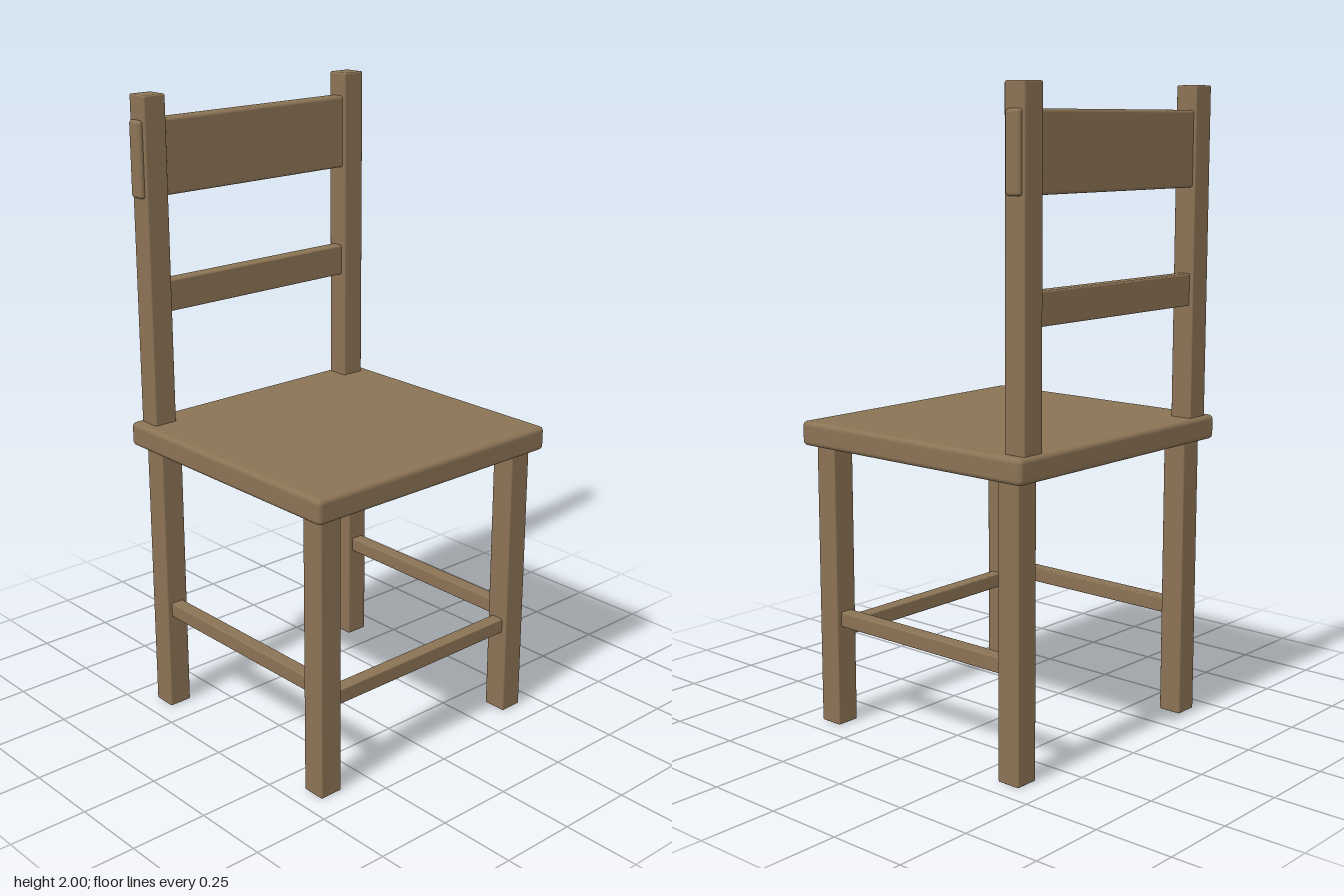
import * as THREE from 'three';
import { RoundedBoxGeometry } from 'three/addons/geometries/RoundedBoxGeometry.js';

export function createModel() {
  const chair = new THREE.Group();
  chair.name = 'chair';
  const wood = new THREE.MeshStandardMaterial({ color: 0x8b7355 });
  wood.name = 'brown wood';

  // Softly rounded board given by its extents on each axis
  function board(name, [x0, x1], [y0, y1], [z0, z1], radius) {
    const geometry = new RoundedBoxGeometry(x1 - x0, y1 - y0, z1 - z0, 3, radius);
    const mesh = new THREE.Mesh(geometry, wood);
    mesh.name = name;
    mesh.position.set((x0 + x1) / 2, (y0 + y1) / 2, (z0 + z1) / 2);
    chair.add(mesh);
  }

  // Seat
  board('seat', [-0.47, 0.47], [0.9, 0.977], [-0.45, 0.45], 0.015);

  // Legs, back posts and side stretchers, mirrored left and right
  for (const [side, s] of [['left', 1], ['right', -1]]) {
    const span = (a, b) => (s > 0 ? [a, b] : [-b, -a]);
    board(side + 'FrontLeg', span(0.358, 0.436), [0, 0.91], [0.34, 0.418], 0.005);
    board(side + 'BackLeg', span(0.358, 0.436), [0, 0.91], [-0.414, -0.336], 0.005);
    board(side + 'BackPost', span(0.358, 0.436), [0.95, 2], [-0.435, -0.361], 0.005);
    board(side + 'Stretcher', span(0.375, 0.419), [0.322, 0.37], [-0.35, 0.35], 0.004);
  }

  // Front stretcher
  board('frontStretcher', [-0.37, 0.37], [0.28, 0.328], [0.357, 0.401], 0.004);

  // Backrest: wide top rail passing through the posts, narrow slat between them
  board('topRail', [-0.45, 0.45], [1.693, 1.926], [-0.426, -0.373], 0.01);
  board('lowerSlat', [-0.37, 0.37], [1.33, 1.43], [-0.422, -0.377], 0.006);

  return chair;
}
